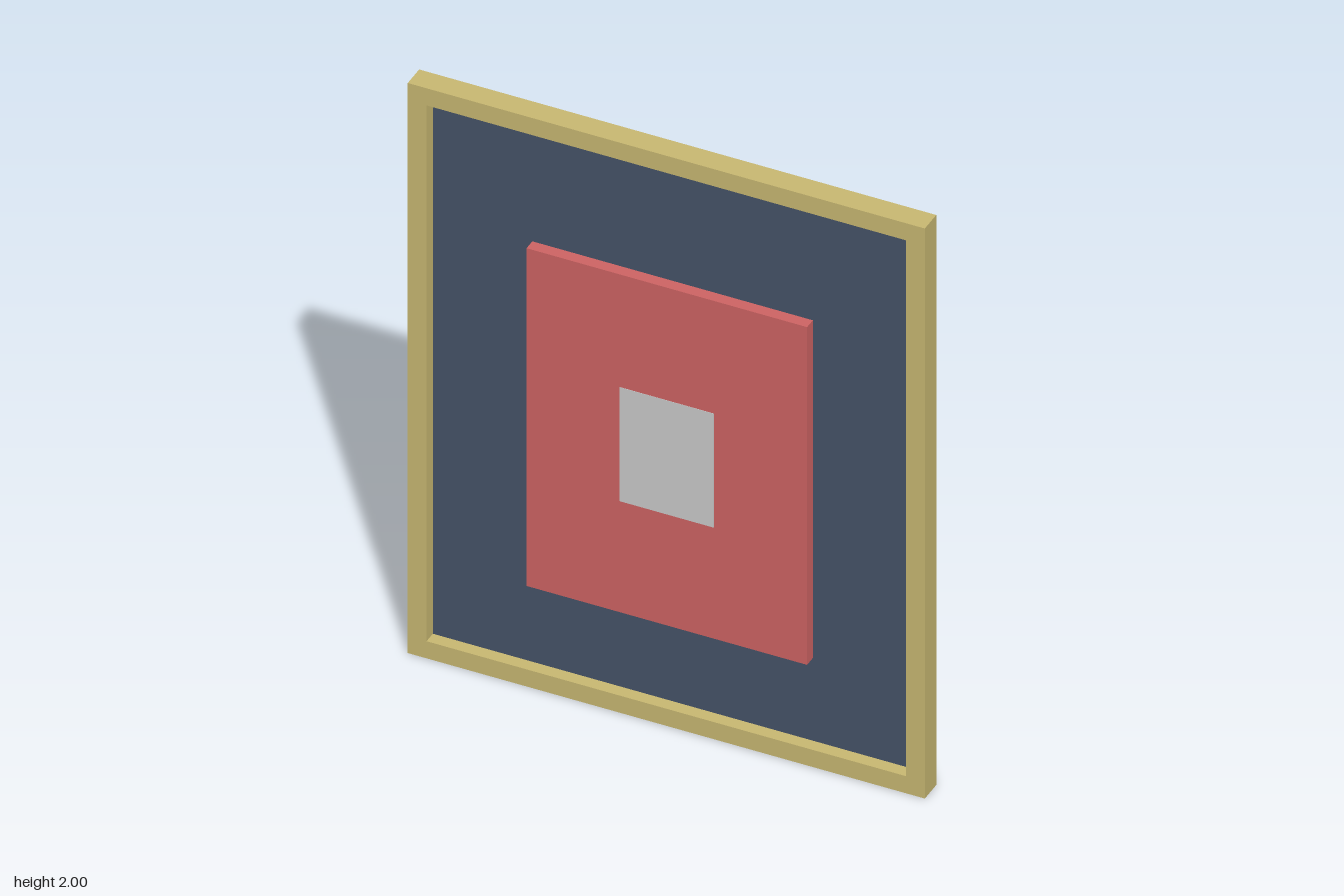
import * as THREE from 'three';

const mat = (color) => new THREE.MeshStandardMaterial({ color });

function rect(PathType, x, y0, y1) {
  return new PathType([
    new THREE.Vector2(-x, y0), new THREE.Vector2(x, y0),
    new THREE.Vector2(x, y1), new THREE.Vector2(-x, y1),
  ]);
}

export function createModel() {
  const group = new THREE.Group();
  const add = (name, geometry, material) => {
    const mesh = new THREE.Mesh(geometry, material);
    mesh.name = name;
    group.add(mesh);
  };
  // Box given by half width, vertical range and depth range
  const slab = (x, y0, y1, z0, z1) =>
    new THREE.BoxGeometry(2 * x, y1 - y0, z1 - z0).translate(0, (y0 + y1) / 2, (z0 + z1) / 2);

  // Rectangular frame with an open middle
  const outline = rect(THREE.Shape, 0.825, 0, 2);
  outline.holes.push(rect(THREE.Path, 0.765, 0.06, 1.94));
  const frame = new THREE.ExtrudeGeometry(outline, { depth: 0.075, bevelEnabled: false });
  add('frame', frame.translate(0, 0, -0.0375), mat(0xc9b972));

  // Backing panel, recessed deeply in front and slightly behind
  add('backPanel', slab(0.765, 0.06, 1.94, -0.034, -0.004), mat(0x465368));

  // Raised centre board
  add('centreBoard', slab(0.4475, 0.35, 1.535, -0.004, 0.034), mat(0xcf6464));

  // Thin label on the board
  add('label', slab(0.15, 0.74, 1.14, 0.033, 0.035), mat(0xcccccc));

  return group;
}
